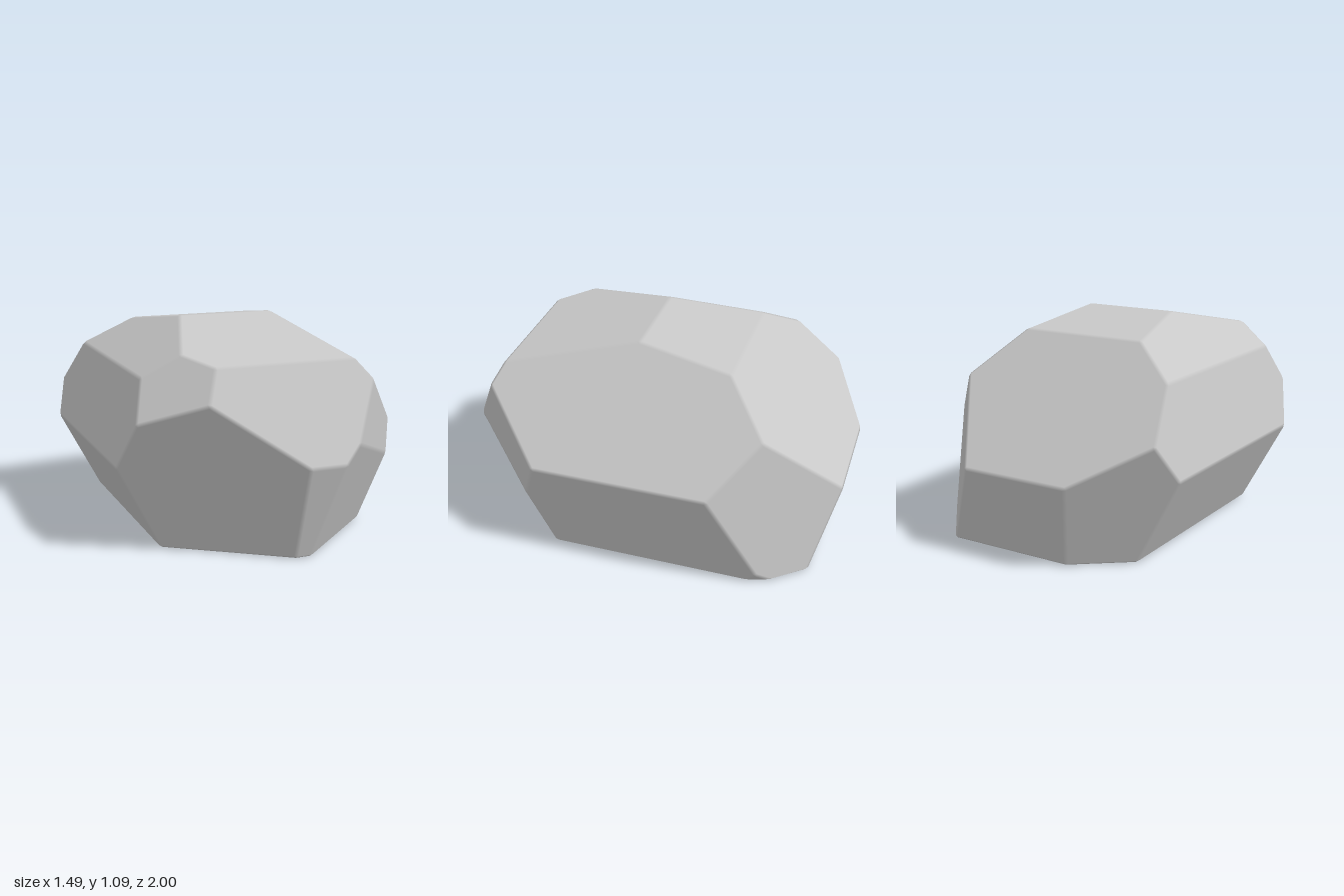
import * as THREE from 'three';

// Corners of the boulder
const CORNERS = [
  [-0.27, 1.09, 0.08], [0.24, 1.09, 0.08], [0.39, 0.94, 0.76], [-0.33, 0.94, 0.76],
  [-0.44, 0.98, 0.59], [0.47, 0.84, 0.81], [0.74, 0.56, 0.49], [0.74, 0.56, -0.41],
  [0.51, 0.80, -0.63], [0.30, 1.02, -0.41], [-0.38, 1.02, -0.41], [-0.62, 0.87, -0.57],
  [-0.62, 0.87, 0.52], [-0.39, 0.78, 0.84], [-0.68, 0.67, 0.64], [0.33, 0.56, 0.95],
  [0.24, 0.48, 1.0], [0.05, 0.48, 1.0], [0.04, 0, 0.87], [0.12, 0, 0.87],
  [0.70, 0.38, 0.55], [0.60, 0, 0.44], [0.615, 0.06, -0.65], [0.43, 0, -0.88],
  [0.25, 0.43, -1.0], [-0.33, 0.43, -1.0], [-0.69, 0.63, -0.80], [-0.75, 0.44, -0.67],
  [-0.75, 0.44, 0.52], [-0.52, 0, 0.49], [-0.52, 0, -0.67], [-0.25, 0, -0.88],
  [0.60, 0, -0.59], [0.56, 0, -0.72],
].map(c => new THREE.Vector3(...c).multiplyScalar(1.005));

// Flat facets, each a loop of corners seen counter-clockwise from outside
const FACETS = [
  [0, 4, 3, 2, 1], [0, 1, 9, 10],                       // top
  [0, 10, 11, 12, 4], [1, 2, 5, 6, 7, 8, 9],            // upper left and right
  [4, 12, 14, 13, 3], [3, 13, 17, 16, 15, 5, 2],        // front upper
  [5, 15, 20, 6], [15, 16, 19, 21, 20],                 // front, +x side
  [16, 17, 18, 19], [17, 13, 14, 28, 29, 18],           // front lower
  [6, 20, 21, 32, 22, 7], [8, 7, 22, 33, 23, 24],       // +x side
  [22, 32, 33],                                         // small chipped corner
  [9, 8, 24, 25, 26, 11, 10], [24, 23, 31, 25],         // back
  [25, 31, 30, 27, 26],                                 // back, -x side
  [11, 26, 27, 28, 14, 12], [27, 30, 29, 28],           // -x side
  [18, 29, 30, 31, 23, 33, 32, 21, 19],                 // underside
];
const BEVEL = 0.012;
const CENTRE = new THREE.Vector3(0, 0.5, 0);

function facetNormal(loop) {
  const n = new THREE.Vector3();
  loop.forEach((c, i) => n.add(
    CORNERS[c].clone().sub(CENTRE).cross(CORNERS[loop[(i + 1) % loop.length]].clone().sub(CENTRE))));
  return n.normalize();
}

function bevelledSolid() {
  const positions = [], normals = [];
  // Fan of triangles, turned to face away from the centre
  const addPolygon = pts => {
    for (let i = 1; i < pts.length - 1; i++) {
      const t = [pts[0], pts[i], pts[i + 1]];
      const n = t[1].p.clone().sub(t[0].p).cross(t[2].p.clone().sub(t[0].p));
      if (n.dot(t[0].p.clone().sub(CENTRE)) < 0) t.reverse();
      for (const v of t) { positions.push(...v.p); normals.push(...v.n); }
    }
  };

  const edges = new Map(), atCorner = CORNERS.map(() => []);
  for (const loop of FACETS) {
    const n = facetNormal(loop), count = loop.length;
    // Draw each facet in by the bevel width
    const inset = loop.map((c, i) => {
      const v = CORNERS[c];
      const a = CORNERS[loop[(i + 1) % count]].clone().sub(v).normalize();
      const b = CORNERS[loop[(i + count - 1) % count]].clone().sub(v).normalize();
      const point = { p: v.clone().addScaledVector(a.clone().add(b), BEVEL / a.clone().cross(b).length()), n };
      atCorner[c].push(point);
      return point;
    });
    addPolygon(inset);
    // Rounded-looking strip along every edge shared with an earlier facet
    loop.forEach((c, i) => {
      const j = (i + 1) % count, d = loop[j];
      const other = edges.get(`${d},${c}`);
      if (other) addPolygon([inset[i], other[1], other[0], inset[j]]);
      edges.set(`${c},${d}`, [inset[i], inset[j]]);
    });
  }
  // Small triangle closing each corner
  atCorner.forEach(addPolygon);

  const geometry = new THREE.BufferGeometry();
  geometry.setAttribute('position', new THREE.Float32BufferAttribute(positions, 3));
  geometry.setAttribute('normal', new THREE.Float32BufferAttribute(normals, 3));
  return geometry;
}

export function createModel() {
  const group = new THREE.Group();
  group.name = 'rock';
  const stone = new THREE.MeshStandardMaterial({ color: 0xc8c8c8 });
  stone.name = 'pale stone grey';
  const boulder = new THREE.Mesh(bevelledSolid(), stone);
  boulder.name = 'boulder';
  group.add(boulder);
  return group;
}
